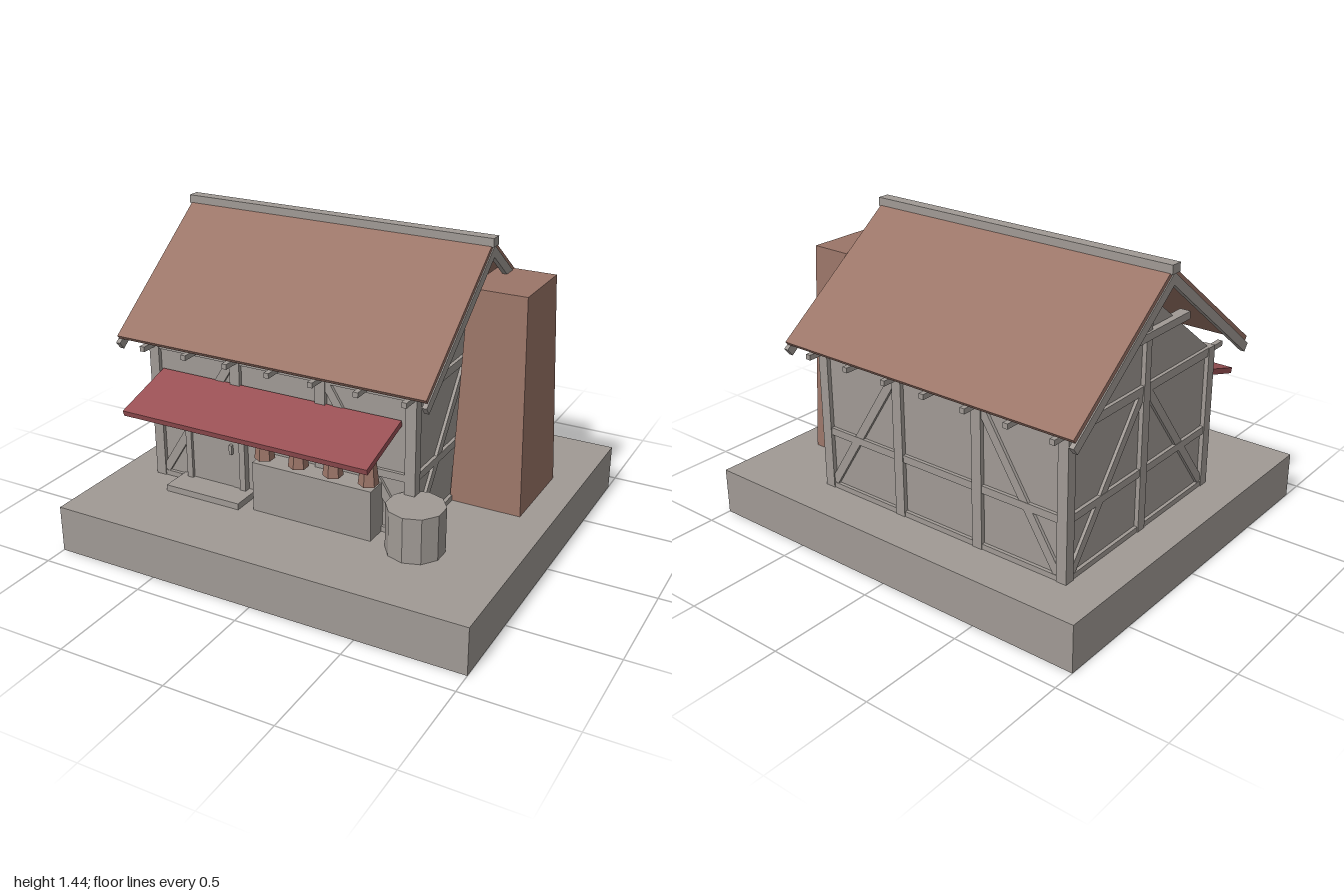
import * as THREE from 'three';

const flat = (name, color) => {
  const m = new THREE.MeshStandardMaterial({ color, flatShading: true });
  m.name = name;
  return m;
};

export function createModel() {
  const stone = flat('warm grey', 0xa09a95);
  const clay = flat('clay brown', 0x9b7568);
  const cloth = flat('awning red', 0x9a5155);
  const root = new THREE.Group();
  root.name = 'timberShop';

  const add = (parent, name, geo, mat, x = 0, y = 0, z = 0) => {
    const m = new THREE.Mesh(geo, mat);
    m.name = name;
    m.position.set(x, y, z);
    parent.add(m);
    return m;
  };
  // Box given by its minimum and maximum on each axis
  const box = (parent, name, mat, x0, x1, y0, y1, z0, z1) =>
    add(parent, name, new THREE.BoxGeometry(x1 - x0, y1 - y0, z1 - z0), mat,
      (x0 + x1) / 2, (y0 + y1) / 2, (z0 + z1) / 2);
  // Sloping board in the z-y plane whose top edge runs between two points
  const slope = (name, mat, x0, x1, [za, ya], [zb, yb], thick) => {
    const dz = zb - za, dy = yb - ya, len = Math.hypot(dz, dy);
    const s = Math.sign(dz);
    const nz = -dy / len * s, ny = dz / len * s;
    const m = add(root, name, new THREE.BoxGeometry(x1 - x0, thick, len), mat, (x0 + x1) / 2,
      (ya + yb) / 2 - ny * thick / 2, (za + zb) / 2 - nz * thick / 2);
    m.rotation.x = -Math.atan2(dy * s, dz * s);
    return m;
  };

  const CX = -0.145, CZ = -0.145, FLOOR = 0.22;

  // Ground slab
  box(root, 'base', stone, -1, 1, 0, FLOOR, -0.89, 0.89);

  // Plaster walls with gables
  const gable = new THREE.Shape();
  gable.moveTo(-0.525, FLOOR);
  gable.lineTo(0.525, FLOOR);
  gable.lineTo(0.525, 0.89);
  gable.lineTo(0, 1.29);
  gable.lineTo(-0.525, 0.89);
  gable.closePath();
  const walls = add(root, 'walls',
    new THREE.ExtrudeGeometry(gable, { depth: 1.31, bevelEnabled: false }), stone, -0.8, 0, CZ);
  walls.rotation.y = Math.PI / 2;

  // Timber frame of one wall, built facing +z around its own centre
  const frame = (name, width, bays, x, z, turn) => {
    const g = new THREE.Group();
    g.name = name;
    g.position.set(x, 0, z);
    g.rotation.y = turn;
    root.add(g);
    const h = width / 2, t = 0.05, step = (width - t) / bays;
    for (let i = 0; i <= bays; i++) {
      const u = -h + t / 2 + i * step;
      box(g, 'post', stone, u - t / 2, u + t / 2, FLOOR, 0.9, -0.05, 0);
    }
    for (const [y0, y1] of [[FLOOR, 0.245], [0.485, 0.52], [0.86, 0.9]])
      box(g, 'rail', stone, -h + t, h - t, y0, y1, -0.05, -0.004);
    // Braces climb from each outer corner to the next post
    for (const s of [-1, 1]) {
      const u0 = s * (h - t), u1 = s * (h - step), y0 = 0.25, y1 = 0.86;
      const brace = add(g, 'brace', new THREE.BoxGeometry(0.04, Math.hypot(u1 - u0, y1 - y0), 0.04),
        stone, (u0 + u1) / 2, (y0 + y1) / 2, -0.026);
      brace.rotation.z = -Math.atan2(u1 - u0, y1 - y0);
    }
    return g;
  };
  frame('frontFrame', 1.35, 3, CX, 0.4, 0);
  frame('backFrame', 1.35, 3, CX, -0.69, Math.PI);
  const sides = [
    frame('leftFrame', 1.09, 2, 0.53, CZ, Math.PI / 2),
    frame('rightFrame', 1.09, 2, -0.82, CZ, -Math.PI / 2),
  ];
  // Gable collar and king post
  for (const g of sides) {
    box(g, 'collarBeam', stone, -0.295, 0.295, 1.1, 1.135, -0.04, 0.01);
    box(g, 'kingPost', stone, -0.02, 0.02, 0.9, 1.37, -0.04, 0);
  }
  // Joist ends below the eaves
  for (const x of [-0.8, -0.577, -0.36, CX, 0.07, 0.287, 0.51])
    box(root, 'joist', stone, x - 0.012, x + 0.012, 0.868, 0.892, -0.77, 0.48);

  // Roof: two slopes, barge boards and ridge beam
  for (const s of [-1, 1]) {
    slope('roofSlope', clay, -0.915, 0.62, [CZ, 1.425], [CZ + s * 0.65, 0.932], 0.02);
    for (const x of [-0.92, 0.603])
      slope('bargeBoard', stone, x, x + 0.022, [CZ, 1.403], [CZ + s * 0.655, 0.9], 0.042);
  }
  box(root, 'ridgeBeam', stone, -0.925, 0.63, 1.4, 1.44, CZ - 0.028, CZ + 0.028);

  // Tapering chimney
  const stack = new THREE.BoxGeometry(1, 1, 1);
  const p = stack.attributes.position;
  for (let i = 0; i < p.count; i++) {
    const top = p.getY(i) > 0;
    const x = p.getX(i) > 0 ? (top ? 0.82 : 0.855) : (top ? 0.55 : 0.515);
    const z = -0.225 + Math.sign(p.getZ(i)) * (top ? 0.175 : 0.215);
    p.setXYZ(i, x, top ? 1.23 : FLOOR, z);
  }
  stack.computeVertexNormals();
  add(root, 'chimney', stack, clay);

  // Door with jambs, handle and step
  box(root, 'door', stone, -0.605, -0.345, 0.25, 0.68, 0.37, 0.397);
  for (const x of [-0.635, -0.345])
    box(root, 'doorJamb', stone, x, x + 0.03, FLOOR, 0.71, 0.37, 0.412);
  box(root, 'doorLintel', stone, -0.635, -0.315, 0.68, 0.71, 0.37, 0.412);
  box(root, 'doorHandle', stone, -0.397, -0.382, 0.42, 0.465, 0.395, 0.415);
  box(root, 'doorStep', stone, -0.67, -0.28, FLOOR, 0.25, 0.38, 0.53);

  // Awning and counter
  slope('awning', cloth, -0.755, 0.457, [0.39, 0.765], [0.7, 0.673], 0.027);
  box(root, 'counter', stone, -0.22, 0.37, FLOOR, 0.457, 0.38, 0.495);

  // Goods hanging from the awning
  for (let i = 0; i < 4; i++)
    add(root, 'hangingGood', new THREE.CylinderGeometry(0.025, 0.046, 0.175, 6), clay,
      -0.175 + i * 0.172, 0.563, 0.46);

  // Barrel
  add(root, 'barrel', new THREE.CylinderGeometry(0.13, 0.13, 0.21, 10), stone, 0.565, 0.325, 0.46);

  return root;
}
